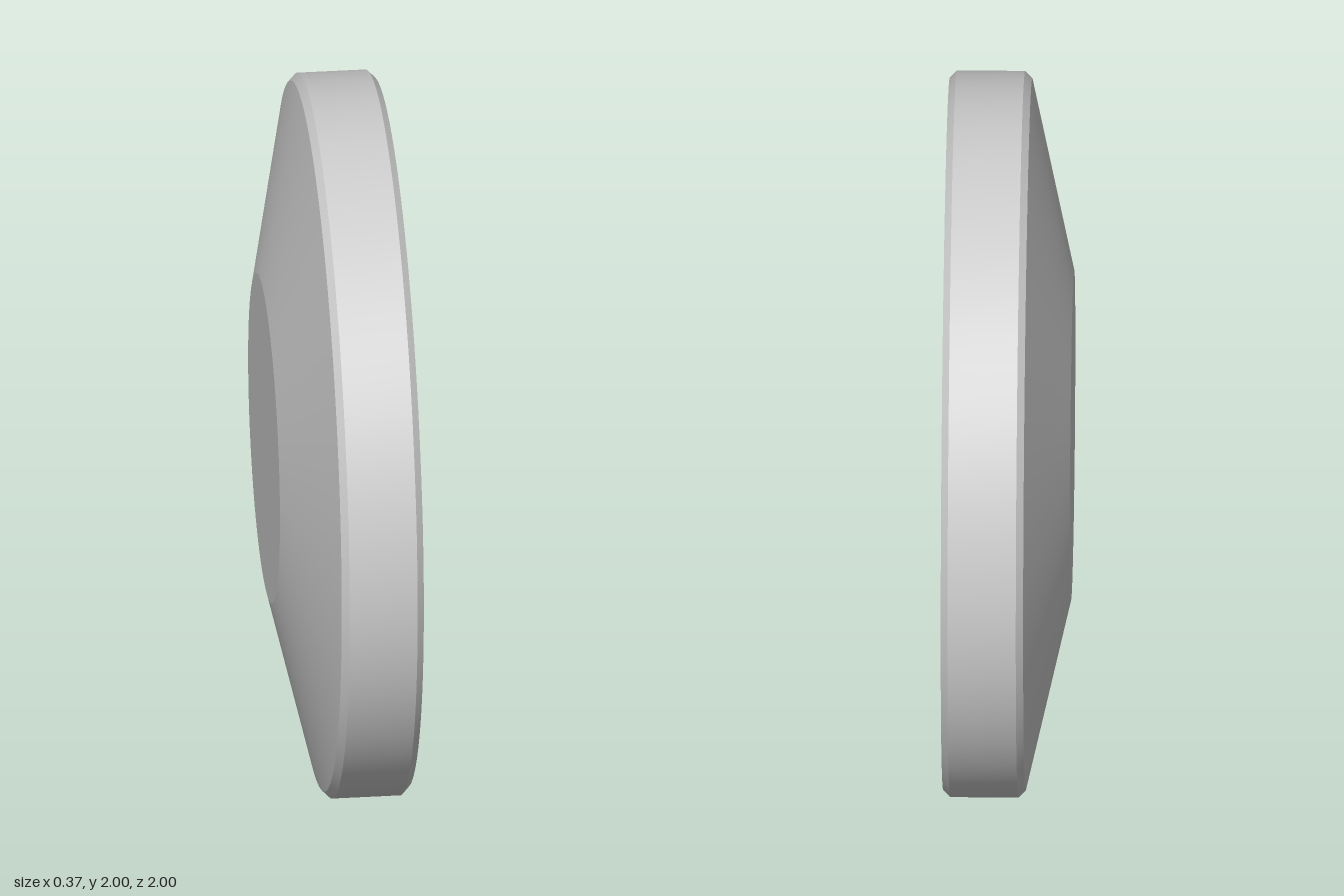
import * as THREE from 'three';
import { toCreasedNormals } from 'three/addons/utils/BufferGeometryUtils.js';

export function createModel() {
  const model = new THREE.Group();
  model.name = 'disc';

  // Half profile [radius, position along the axis]: flat boss, shallow cone,
  // bevel, rim, bevel, flat face
  const profile = [
    [0, -0.18], [0.455, -0.18], [0.98, -0.06], [1, -0.04],
    [1, 0.148], [0.98, 0.167], [0, 0.167],
  ].map(([r, h]) => new THREE.Vector2(r, h));

  const geometry = toCreasedNormals(new THREE.LatheGeometry(profile, 128), 0.15);
  geometry.rotateZ(-Math.PI / 2); // axis along x, flat face to +x
  geometry.rotateY(-0.017); // slight turn

  const body = new THREE.Mesh(geometry, new THREE.MeshStandardMaterial({ color: 0xcccccc }));
  body.name = 'discBody';
  body.position.y = 1;
  model.add(body);
  return model;
}
